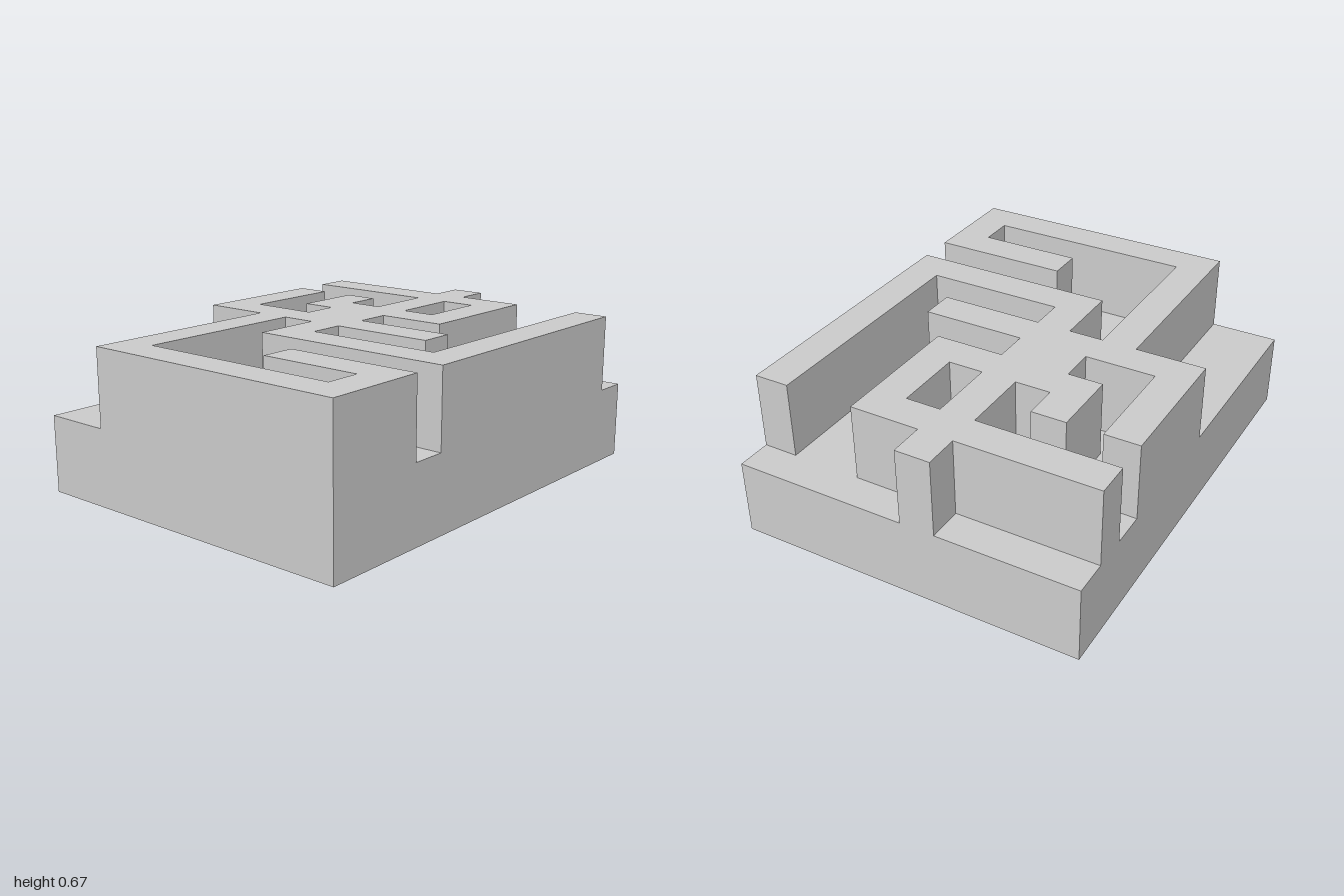
import * as THREE from 'three';

// Plan of the block, back row first: 1 = raised wall, 0 = sunken path
const PLAN = [
  '0000100000',
  '1111111001',
  '0000101001',
  '1010101001',
  '1011111001',
  '1001100001',
  '1111111101',
  '0010100001',
  '0010111111',
  '0010000000',
  '0010001111',
  '0010000001',
  '0011111111',
];
const ROWS = PLAN.length;
const COLS = PLAN[0].length;
const CELL = 2 / ROWS;
const PATH_Y = 0.335;
const TOP_Y = 0.672;

// Height of a cell; outside the plan the ground is 0
function heightAt(c, r) {
  if (c < 0 || r < 0 || c >= COLS || r >= ROWS) return 0;
  return PLAN[r][c] === '1' ? TOP_Y : PATH_Y;
}

// Adds a four-cornered face, corners anticlockwise from its front
function addQuad(list, a, b, c, d) {
  list.push(...a, ...b, ...c, ...a, ...c, ...d);
}

export function createModel() {
  const group = new THREE.Group();
  group.name = 'mazeBlock';
  const parts = { wallTops: [], pathFloor: [], wallSides: [], outerSides: [] };

  for (let r = 0; r < ROWS; r++) {
    for (let c = 0; c < COLS; c++) {
      const h = heightAt(c, r);
      const x0 = (c - COLS / 2) * CELL, x1 = x0 + CELL;
      const z0 = (r - ROWS / 2) * CELL, z1 = z0 + CELL;

      // Level surface of the cell
      addQuad(h === TOP_Y ? parts.wallTops : parts.pathFloor,
        [x0, h, z1], [x1, h, z1], [x1, h, z0], [x0, h, z0]);

      // Upright faces wherever the neighbour is lower
      for (const [dx, dz] of [[1, 0], [-1, 0], [0, 1], [0, -1]]) {
        const low = heightAt(c + dx, r + dz);
        if (low >= h) continue;
        const half = CELL / 2;
        const mx = x0 + half + dx * half, mz = z0 + half + dz * half;
        const tx = dz * half, tz = -dx * half;
        addQuad(low === 0 ? parts.outerSides : parts.wallSides,
          [mx - tx, low, mz - tz], [mx + tx, low, mz + tz],
          [mx + tx, h, mz + tz], [mx - tx, h, mz - tz]);
      }
    }
  }

  // The block is a thin shell, open underneath
  const material = new THREE.MeshStandardMaterial({
    color: 0xcccccc, flatShading: true, side: THREE.DoubleSide,
  });
  for (const [name, positions] of Object.entries(parts)) {
    const geometry = new THREE.BufferGeometry();
    geometry.setAttribute('position', new THREE.Float32BufferAttribute(positions, 3));
    geometry.computeVertexNormals();
    const mesh = new THREE.Mesh(geometry, material);
    mesh.name = name;
    group.add(mesh);
  }
  return group;
}
